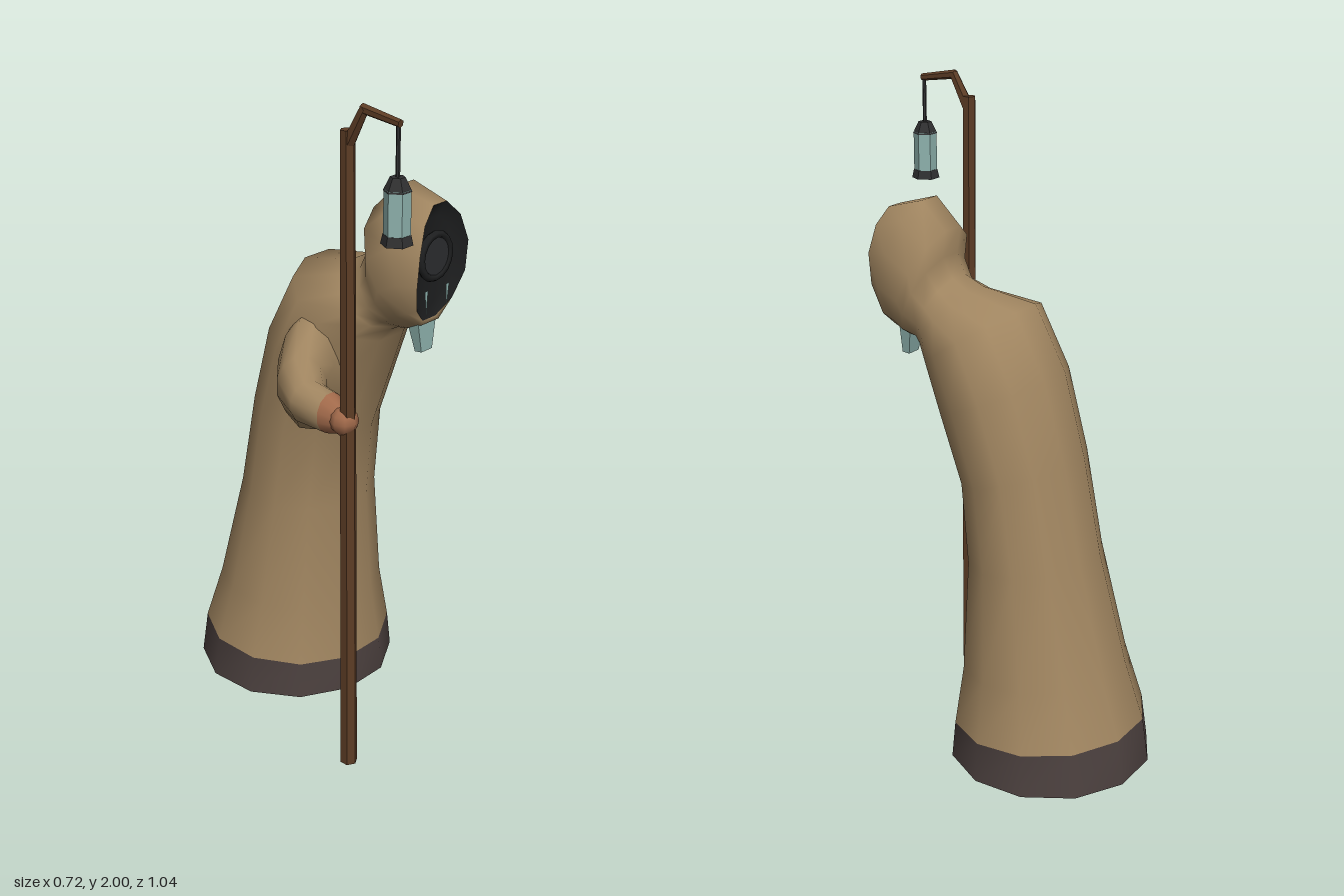
import * as THREE from 'three';

const SIDES = 12, CX = 0.055;
const V = (x, y, z) => new THREE.Vector3(x, y, z);
const mat = (name, color, side = THREE.FrontSide, flatShading = false) => {
  const m = new THREE.MeshStandardMaterial({ color, side, flatShading });
  m.name = name;
  return m;
};

// Ring of points: centre + U cos(a) + W sin(a), measured across the flats
function ring(c, U, W, bulge = 0) {
  const k = 1 / Math.cos(Math.PI / SIDES);
  return Array.from({ length: SIDES }, (_, i) => {
    const a = (i + 0.5) * 2 * Math.PI / SIDES;
    const p = c.clone().addScaledVector(U, Math.cos(a) * k).addScaledVector(W, Math.sin(a) * k);
    p.z += bulge * Math.cos(a) ** 2;
    return p;
  });
}

// Leaning ring from its front point (yf, zf), back point (yb, zb) and half width
const lean = ([yf, zf, yb, zb, hw, bulge]) => ring(
  V(CX, (yf + yb) / 2, (zf + zb) / 2), V(hw, 0, 0), V(0, (yf - yb) / 2, (zf - zb) / 2), bulge);

// Smooth skin over a list of rings, optionally closed at the end
function loft(rings, capEnd = false) {
  const pts = rings.flat(), idx = [];
  for (let r = 0; r < rings.length - 1; r++) {
    for (let i = 0; i < SIDES; i++) {
      const a = r * SIDES + i, b = r * SIDES + (i + 1) % SIDES;
      idx.push(a, a + SIDES, b, b, a + SIDES, b + SIDES);
    }
  }
  if (capEnd) {
    const last = rings[rings.length - 1], o = (rings.length - 1) * SIDES;
    const c = V(0, 0, 0);
    last.forEach(p => c.addScaledVector(p, 1 / SIDES));
    pts.push(c);
    for (let i = 0; i < SIDES; i++) idx.push(o + i, pts.length - 1, o + (i + 1) % SIDES);
  }
  const g = new THREE.BufferGeometry().setFromPoints(pts);
  g.setIndex(idx);
  g.computeVertexNormals();
  return g;
}

export function createModel() {
  const model = new THREE.Group();
  model.name = 'hoodedLanternBearer';
  const cloth = mat('robeCloth', 0xa08560, THREE.DoubleSide);
  const hem = mat('hemCloth', 0x4b403e);
  const dark = mat('hoodShadow', 0x1e1f20, THREE.DoubleSide);
  const mask = mat('maskGrey', 0x2b2d2f, THREE.DoubleSide, true);
  const skin = mat('handSkin', 0xa0694a);
  const wood = mat('staffWood', 0x5c3c25, THREE.FrontSide, true);
  const iron = mat('lanternIron', 0x303031, THREE.FrontSide, true);
  const teal = mat('paleTeal', 0x8fb3ae, THREE.DoubleSide, true);
  const add = (name, geo, m, parent = model) => {
    const o = new THREE.Mesh(geo, m);
    o.name = name;
    parent.add(o);
    return o;
  };

  // Hem band and its dark underside
  const foot = [0.01, 0.08, 0.01, -0.52, 0.303], hemTop = [0.12, 0.07, 0.15, -0.5, 0.29];
  add('hem', loft([lean(foot), lean(hemTop)]), hem);
  add('hemUnderside', loft([lean(foot).reverse()], true), hem);

  // Robe, neck and hood as one leaning skin
  const rim = [1.31, 0.305, 1.655, 0.335, 0.108, 0.035];
  add('robeAndHood', loft([
    hemTop,
    [0.30, 0.045, 0.33, -0.44, 0.252],
    [0.64, 0.03, 0.67, -0.35, 0.213],
    [0.88, 0.05, 0.97, -0.29, 0.207],
    [1.08, 0.12, 1.22, -0.22, 0.213],
    [1.22, 0.17, 1.41, -0.12, 0.203],
    [1.26, 0.20, 1.44, 0.05, 0.145],
    [1.27, 0.22, 1.47, 0.11, 0.122],
    [1.28, 0.265, 1.53, 0.14, 0.136],
    [1.295, 0.295, 1.61, 0.13, 0.144],
    [1.30, 0.31, 1.69, 0.21, 0.142, 0.03],
    rim,
  ].map(lean)), cloth);

  // Shadowed hood opening with a round mask
  add('hoodLining', loft([rim, [1.35, 0.30, 1.61, 0.315, 0.085, 0.01]].map(lean), true), dark);
  const face = new THREE.Group();
  face.name = 'mask';
  face.position.set(0.053, 1.5, 0.325);
  model.add(face);
  add('maskRim', new THREE.TorusGeometry(0.063, 0.012, 6, 16), dark, face);
  add('maskDisc', new THREE.CircleGeometry(0.055, 12), mask, face).position.z = 0.006;

  // Beard below the hood, with thin strands beside the mask
  const beard = add('beard', new THREE.CylinderGeometry(0.066, 0.034, 0.13, 4).rotateY(Math.PI / 4), teal);
  beard.scale.z = 0.5;
  beard.position.set(0.053, 1.275, 0.285);
  beard.rotation.x = -0.1;
  for (const s of [-1, 1]) {
    const strand = new THREE.Shape([[0.04, 0.06], [0.055, 0.06], [0.046, -0.01]].map(
      ([x, y]) => new THREE.Vector2(s * x, y)));
    add(s < 0 ? 'rightStrand' : 'leftStrand', new THREE.ShapeGeometry(strand), teal)
      .position.set(0.053, 1.35, 0.335);
  }

  // Wide sleeve narrowing to the hand: centre, half width, half height
  const path = [
    [V(-0.06, 1.13, 0.0), 0.09, 0.2],
    [V(-0.16, 1.12, 0.03), 0.085, 0.165],
    [V(-0.25, 1.135, 0.095), 0.07, 0.09],
    [V(-0.30, 1.125, 0.17), 0.06, 0.062],
    [V(-0.298, 1.115, 0.245), 0.052, 0.058],
    [V(-0.303, 1.11, 0.29), 0.03, 0.04],
    [V(-0.304, 1.108, 0.318), 0.024, 0.026],
  ];
  const armRings = path.map(([c, w, h], i) => {
    const t = path[Math.min(i + 1, path.length - 1)][0].clone().sub(path[Math.max(i - 1, 0)][0]);
    t.y = 0;
    const U = t.normalize().cross(V(0, 1, 0)).multiplyScalar(w);
    return ring(c, U, V(0, h, 0));
  });
  add('sleeve', loft(armRings.slice(0, 5)), cloth);
  add('hand', loft(armRings.slice(4), true), skin);
  add('grip', new THREE.SphereGeometry(0.042, 8, 6), skin).position.set(-0.305, 1.11, 0.303);

  // Staff with a bent crook
  const SX = -0.305;
  const beam = (name, a, b, r0, r1, m) => {
    const d = b.clone().sub(a);
    const o = add(name, new THREE.CylinderGeometry(r1, r0, d.length(), 6), m);
    o.position.copy(a).addScaledVector(d, 0.5);
    o.quaternion.setFromUnitVectors(V(0, 1, 0), d.normalize());
  };
  beam('staff', V(SX, 0, 0.325), V(SX, 1.925, 0.313), 0.026, 0.021, wood);
  beam('crookRise', V(SX, 1.885, 0.313), V(SX, 1.99, 0.37), 0.019, 0.014, wood);
  beam('crookArm', V(SX, 1.987, 0.362), V(SX, 1.968, 0.487), 0.014, 0.011, wood);

  // Hexagonal lantern on a thin hanger: bottom y, height, bottom and top radius
  const lantern = new THREE.Group();
  lantern.name = 'lantern';
  lantern.position.set(SX, 0, 0.48);
  lantern.rotation.y = Math.PI / 6;
  model.add(lantern);
  for (const [name, y, h, r0, r1, m] of [
    ['lanternFoot', 1.655, 0.027, 0.043, 0.037, iron],
    ['lanternGlass', 1.68, 0.12, 0.036, 0.036, teal],
    ['lanternRoof', 1.795, 0.037, 0.038, 0.02, iron],
    ['lanternHanger', 1.83, 0.14, 0.006, 0.006, iron],
  ]) add(name, new THREE.CylinderGeometry(r1, r0, h, 6), m, lantern).position.y = y + h / 2;

  return model;
}
